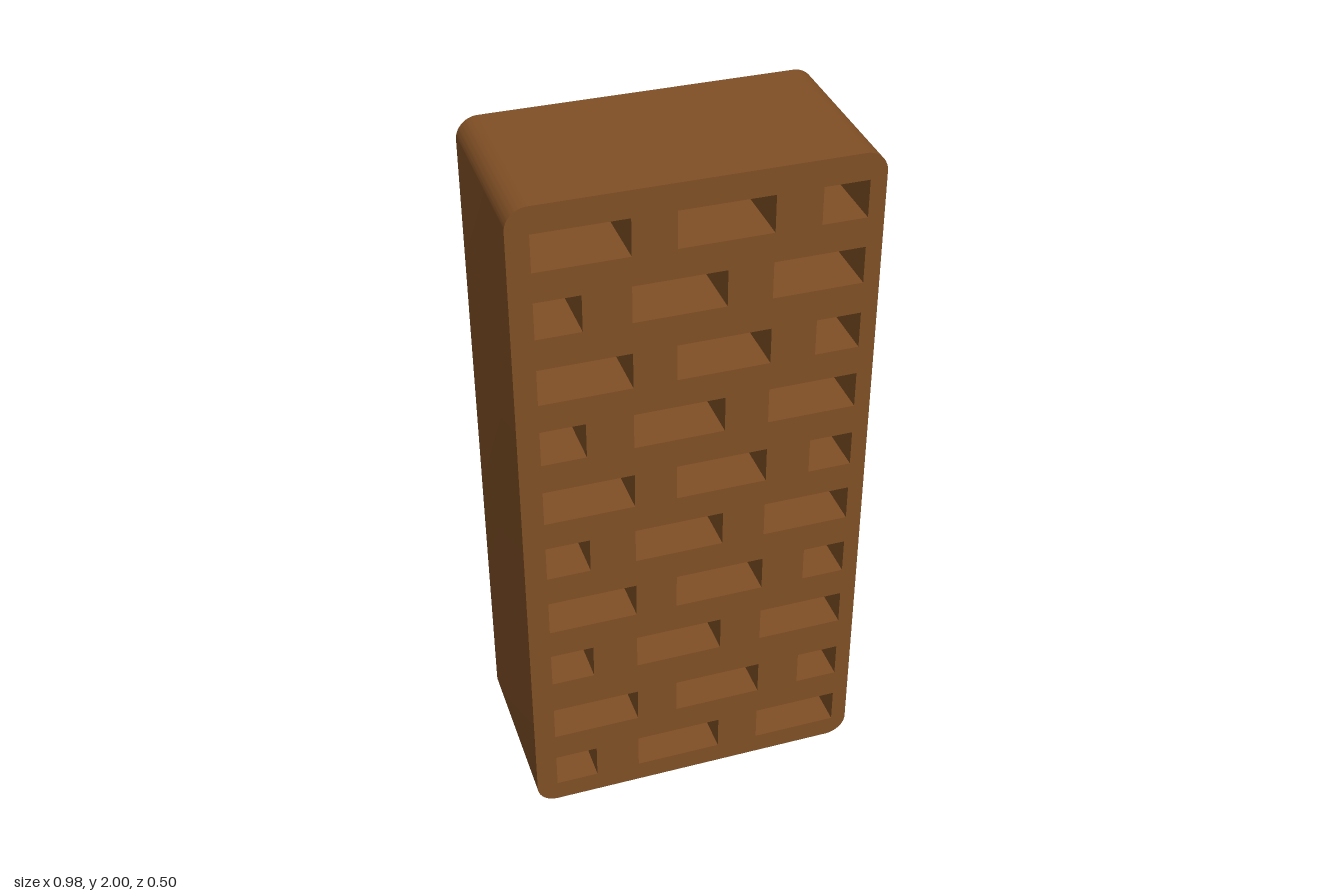
import * as THREE from 'three';
import { toCreasedNormals } from 'three/addons/utils/BufferGeometryUtils.js';

// Upright block outline with rounded corners
function roundedOutline(x0, x1, y0, y1, r) {
  const s = new THREE.Shape();
  s.moveTo(x0 + r, y0);
  s.lineTo(x1 - r, y0);
  s.absarc(x1 - r, y0 + r, r, -Math.PI / 2, 0, false);
  s.lineTo(x1, y1 - r);
  s.absarc(x1 - r, y1 - r, r, 0, Math.PI / 2, false);
  s.lineTo(x0 + r, y1);
  s.absarc(x0 + r, y1 - r, r, Math.PI / 2, Math.PI, false);
  s.lineTo(x0, y0 + r);
  s.absarc(x0 + r, y0 + r, r, Math.PI, Math.PI * 1.5, false);
  return s;
}

// Rectangular opening through the block
function slot(x0, x1, y0, y1) {
  const p = new THREE.Path();
  p.moveTo(x0, y0);
  p.lineTo(x0, y1);
  p.lineTo(x1, y1);
  p.lineTo(x1, y0);
  p.closePath();
  return p;
}

export function createModel() {
  const group = new THREE.Group();
  group.name = 'perforatedBlock';

  const clay = new THREE.MeshStandardMaterial({ color: 0x804f25 });
  clay.name = 'brown clay';

  // Ten rows of slots, staggered on alternate rows
  const rowBottoms = [0.063, 0.255, 0.465, 0.66, 0.855, 1.045, 1.24, 1.43, 1.627, 1.818];
  const shortFirst = [[-0.43, -0.307], [-0.178, 0.073], [0.195, 0.443]];
  const shortLast = [[-0.43, -0.178], [-0.06, 0.195], [0.32, 0.443]];
  const slotHeight = 0.106;

  const outline = roundedOutline(-0.491, 0.488, 0, 2, 0.06);
  rowBottoms.forEach((y, row) => {
    const spans = row % 2 === 0 ? shortFirst : shortLast;
    for (const [x0, x1] of spans) outline.holes.push(slot(x0, x1, y, y + slotHeight));
  });

  // Block body, extruded front to back
  const depth = 0.5;
  const geometry = new THREE.ExtrudeGeometry(outline, { depth, bevelEnabled: false, curveSegments: 10 });
  geometry.translate(0, 0, -depth / 2);
  const body = new THREE.Mesh(toCreasedNormals(geometry, Math.PI / 6), clay);
  body.name = 'blockBody';
  group.add(body);

  return group;
}
